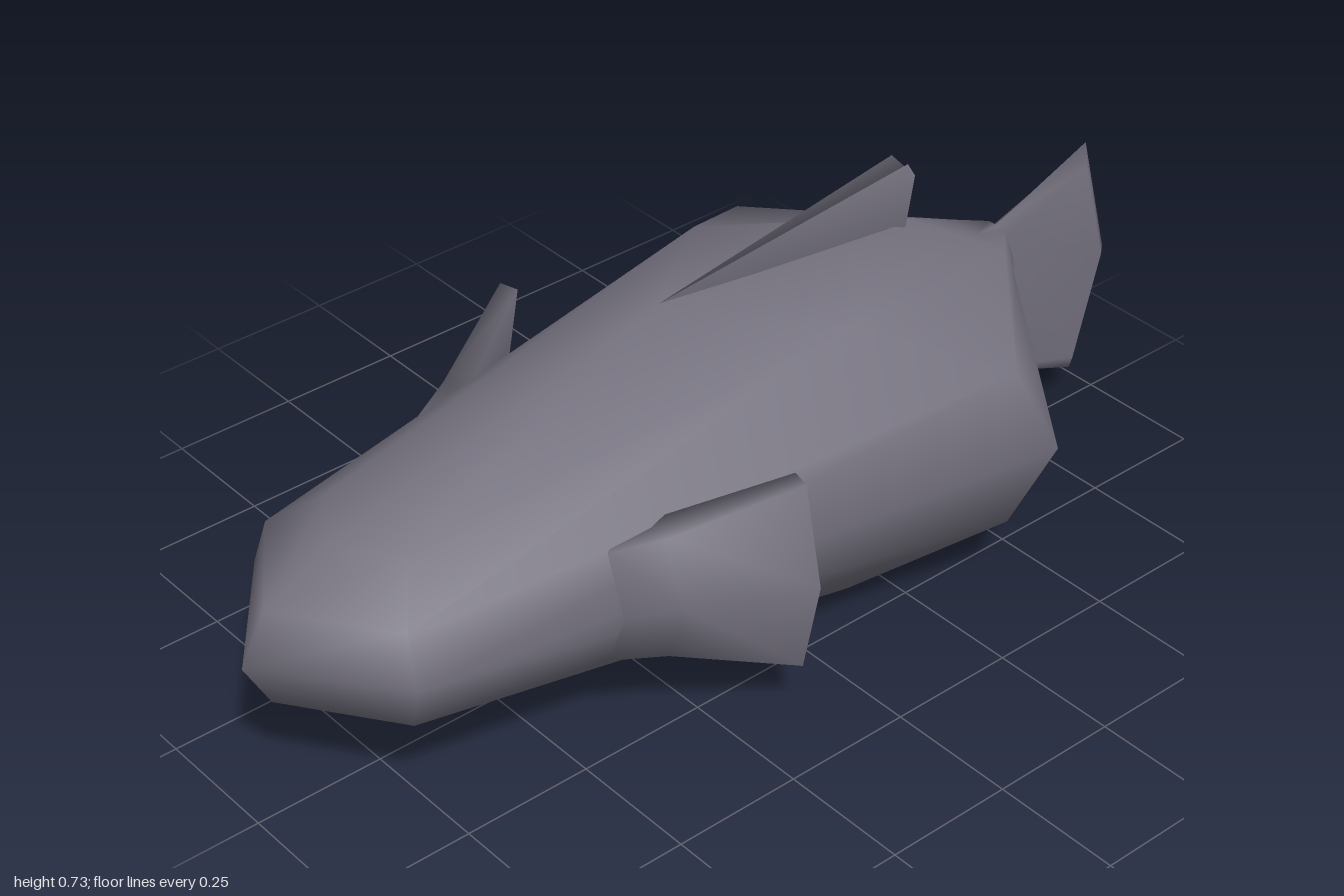
import * as THREE from 'three';
import { mergeVertices } from 'three/addons/utils/BufferGeometryUtils.js';

const MID = 0.328; // height of the body's centre line

// Closed smooth shape from polygons (arrays of [x, y, z] corners), each turned away from an inner point
function shell(polygons, centre) {
  const out = [];
  const c = new THREE.Vector3(...centre);
  const n = new THREE.Vector3();
  for (const poly of polygons) {
    for (let i = 1; i < poly.length - 1; i++) {
      const t = [poly[0], poly[i], poly[i + 1]].map((p) => new THREE.Vector3(...p));
      const tri = new THREE.Triangle(...t);
      if (tri.getArea() < 1e-7) continue;
      tri.getNormal(n);
      if (n.dot(t[0].clone().sub(c)) < 0) t.reverse();
      t.forEach((v) => out.push(v.x, v.y, v.z));
    }
  }
  const soup = new THREE.BufferGeometry();
  soup.setAttribute('position', new THREE.Float32BufferAttribute(out, 3));
  const geo = mergeVertices(soup, 1e-4);
  geo.computeVertexNormals();
  return geo;
}

function bodyGeometry() {
  // Half section from top to bottom: [width factor, height factor]
  const section = [[0.5, 1], [0.87, 0.57], [1, 0], [0.87, -0.57], [0.5, -1]];
  // Each ring leans, so its rows sit at different x
  const noseX = [-0.82, -0.95, -1, -0.95, -0.82];
  const headX = [-0.74, -0.81, -0.82, -0.81, -0.74];
  const girthX = [0.14, 0.38, 0.44, 0.38, 0.14];
  const rearX = [0.65, 0.682, 0.695, 0.682, 0.65];
  const stalkX = [0.7, 0.728, 0.74, 0.728, 0.7];
  const faces = [];
  for (const s of [1, -1]) {
    const rows = section.map(([w, h], k) => [
      [noseX[k], MID + h * 0.165, 0],
      [headX[k], MID + h * 0.165, s * w * 0.23],
      [girthX[k], MID + h * 0.284, s * w * 0.425],
      [rearX[k], MID + h * 0.163, s * 0.07],
      [stalkX[k], MID + h * 0.163, s * 0.02],
    ]);
    for (let k = 0; k < 4; k++) {
      // Split the quads the same way above and below the centre line
      const [a, b] = k < 2 ? [rows[k + 1], rows[k]] : [rows[k], rows[k + 1]];
      for (let i = 0; i < 4; i++) faces.push([a[i], b[i], b[i + 1], a[i + 1]]);
    }
    // Back and belly, each with a ridge on the centre line
    for (const [row, h] of [[rows[0], 1], [rows[4], -1]]) {
      const peak = [-0.13, MID + h * 0.328, 0];
      const rear = [0.44, MID + h * 0.282, 0];
      const root = [0.65, MID + h * 0.163, 0];
      const stalk = [0.7, MID + h * 0.163, 0];
      faces.push([row[0], row[1], peak], [peak, row[1], row[2]], [peak, row[2], rear]);
      faces.push([rear, row[2], row[3], root], [root, row[3], row[4], stalk]);
    }
  }
  return shell(faces, [0, MID, 0]);
}

function tailGeometry() {
  const rim = [[0.7, 0.165], [0.93, 0.255], [1, 0], [0.93, -0.255], [0.7, -0.165]];
  const inset = [[0.7, 0.145], [0.915, 0.215], [0.975, 0], [0.915, -0.215], [0.7, -0.145]];
  const faces = [];
  for (const z of [0.021, -0.021]) {
    const edge = rim.map(([x, y]) => [x, MID + y, 0]);
    const side = inset.map(([x, y]) => [x, MID + y, z]);
    faces.push(side);
    for (let i = 0; i < 5; i++) {
      const j = (i + 1) % 5;
      faces.push([edge[i], edge[j], side[j], side[i]]);
    }
  }
  return shell(faces, [0.85, MID, 0]);
}

function dorsalGeometry() {
  // Wedge with a shallow groove along its upper edge
  const front = [-0.12, 0.66, 0];
  const notch = [0.48, 0.682, 0];
  const foot = [0.44, 0.6, 0];
  const faces = [];
  for (const z of [0.021, -0.021]) {
    const top = [0.44, 0.73, z];
    const base = [0.44, 0.6, z];
    faces.push([front, top, notch], [front, base, top], [top, base, notch]);
    faces.push([base, foot, notch], [front, base, foot]);
  }
  return shell(faces, [0.42, 0.645, 0]);
}

function sideFinGeometry(s) {
  // Slab bent along its middle; columns are [x, middle z, half height]
  const skin = (columns) => [1, 0, -1].map((v) => columns.map(([x, z, h]) => (
    [x, MID + v * h, s * (z - Math.abs(v) * 0.04)])));
  const outer = skin([[-0.45, 0.3, 0.112], [-0.36, 0.345, 0.122], [-0.15, 0.45, 0.19]]);
  const inner = skin([[-0.4, 0.26, 0.112], [-0.36, 0.28, 0.122], [-0.14, 0.412, 0.19]]);
  const faces = [];
  for (let i = 0; i < 2; i++) {
    for (const e of [0, 1]) {
      for (const side of [outer, inner]) {
        faces.push([side[i][e], side[i][e + 1], side[i + 1][e + 1], side[i + 1][e]]);
      }
      // Rim: upper and lower edges, then root and tip
      const r = i * 2;
      faces.push([outer[r][e], outer[r][e + 1], inner[r][e + 1], inner[r][e]]);
      const c = e * 2;
      faces.push([outer[i][c], outer[i + 1][c], inner[i + 1][c], inner[i][c]]);
    }
  }
  return shell(faces, [-0.28, MID, s * 0.357]);
}

export function createModel() {
  const model = new THREE.Group();
  model.name = 'fish';
  const skin = new THREE.MeshStandardMaterial({ color: 0x75727f });
  skin.name = 'slate grey';
  const add = (name, geometry) => {
    const mesh = new THREE.Mesh(geometry, skin);
    mesh.name = name;
    model.add(mesh);
  };
  add('body', bodyGeometry());
  add('tailFin', tailGeometry());
  add('dorsalFin', dorsalGeometry());
  add('frontSideFin', sideFinGeometry(1));
  add('backSideFin', sideFinGeometry(-1));
  return model;
}
